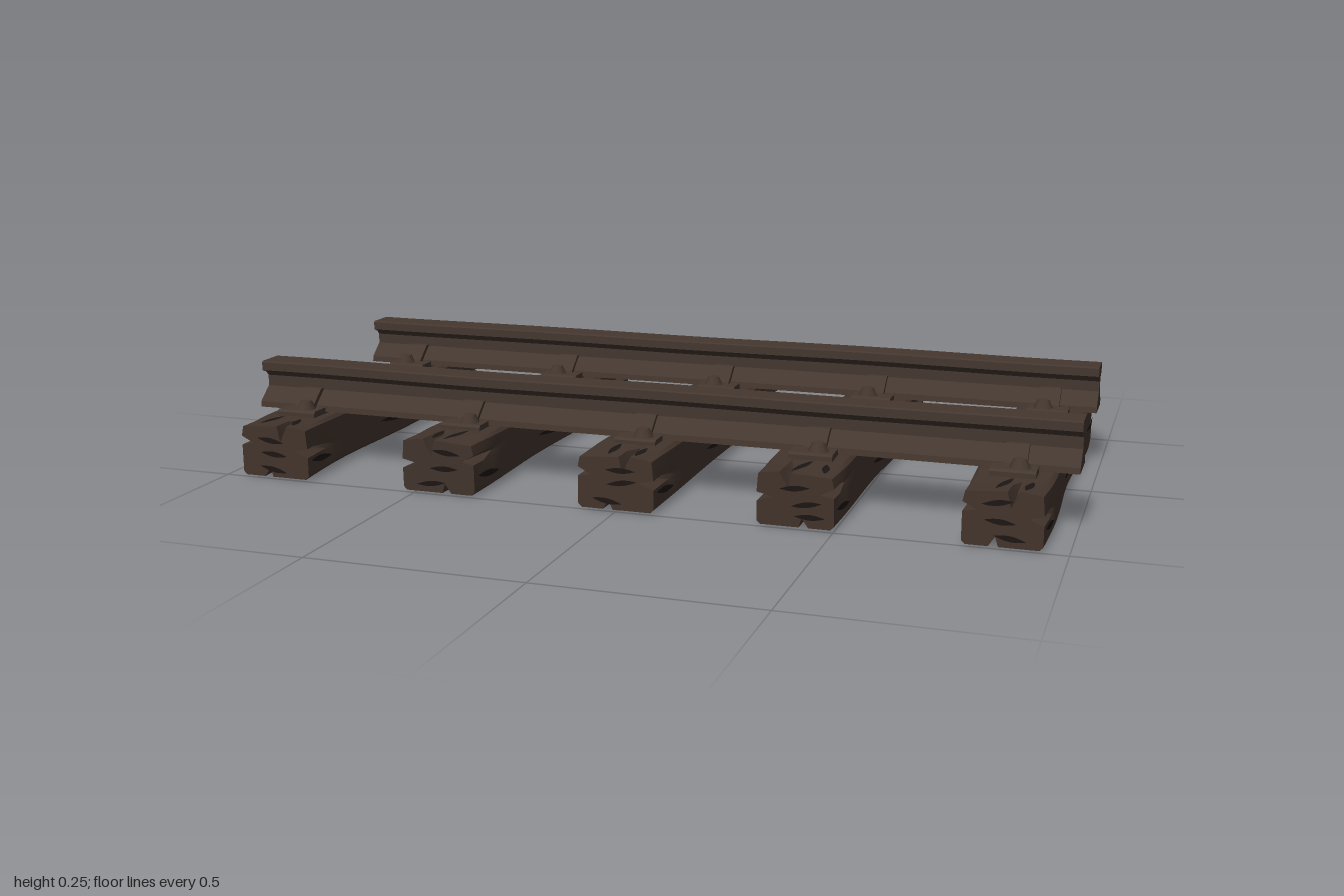
import * as THREE from 'three';
import { toCreasedNormals } from 'three/addons/utils/BufferGeometryUtils.js';

const mat = (name, color, side = THREE.FrontSide) => {
  const m = new THREE.MeshStandardMaterial({ color, side });
  m.name = name;
  return m;
};

function makeRandom(seed) {
  return () => (seed = (seed * 16807) % 2147483647) / 2147483647;
}

function add(parent, name, geometry, material) {
  const mesh = new THREE.Mesh(geometry, material);
  mesh.name = name;
  parent.add(mesh);
  return mesh;
}

// Move every vertex by a rule p => p
function deform(geometry, rule) {
  const pos = geometry.attributes.position, p = new THREE.Vector3();
  for (let i = 0; i < pos.count; i++) {
    p.fromBufferAttribute(pos, i);
    rule(p);
    pos.setXYZ(i, p.x, p.y, p.z);
  }
  geometry.computeVertexNormals();
  return geometry;
}

const HALF = 0.088, HEIGHT = 0.131, LENGTH = 0.495;

// Cross-section of a sleeper: x, y and how far each point sinks at the split ends
const SECTION = [
  [-0.08, 0.005, 0, 0], [-0.03, 0.005, 0, 0], [-0.02, 0.005, 0.005, 0.022], [-0.008, 0.005, 0, 0],
  [0.08, 0.005, 0, 0], [0.088, 0.013, 0, 0], [0.088, 0.058, 0, 0], [0.088, 0.068, -0.034, 0.004],
  [0.088, 0.08, 0, 0], [0.088, 0.123, -0.004, 0], [0.08, 0.131, -0.006, -0.005], [0.035, 0.131, 0, 0],
  [0.022, 0.131, -0.006, -0.04], [0.008, 0.131, 0, -0.002], [-0.08, 0.131, 0.006, -0.007],
  [-0.088, 0.123, 0.005, 0], [-0.088, 0.1, 0, 0], [-0.088, 0.09, 0.03, -0.006], [-0.088, 0.078, 0, 0],
  [-0.088, 0.013, 0, 0],
];

// Old timber leans, bows and swells a little along its length
function sleeperWarp({ x, lean, bow, seed, flip }) {
  return (p) => {
    const t = p.z / LENGTH;
    p.x *= flip * (1 - 0.05 * (1 - t * t) + 0.03 * Math.sin(p.z * 11 + seed));
    p.x += x + lean * t + bow * (1 - t * t) + 0.004 * Math.sin(p.z * 9 + seed * 2);
    p.y += 0.008 * (1 - t * t) * (1 - p.y / HEIGHT) + 0.002 * Math.sin(p.z * 13 + seed) * p.y / HEIGHT;
    p.z += 0.006 * t * t * t * (p.y / HEIGHT - 0.5) * Math.sin(seed * 3);
  };
}

function sleeperGeometry(warp) {
  const rings = 21, n = SECTION.length, pos = [], idx = [];
  for (let k = 0; k < rings; k++) {
    const z = -LENGTH + (2 * LENGTH * k) / (rings - 1);
    const split = THREE.MathUtils.smoothstep(Math.abs(z), 0.36, LENGTH);
    for (const [x, y, dx, dy] of SECTION) {
      const p = new THREE.Vector3(x + dx * split, y + dy * split, z);
      warp(p);
      pos.push(p.x, p.y, p.z);
    }
  }
  const quad = (a, b, c, d) => idx.push(a, b, c, a, c, d);
  for (let k = 0; k < rings - 1; k++) {
    for (let i = 0; i < n; i++) {
      const j = (i + 1) % n;
      quad(k * n + i, k * n + j, (k + 1) * n + j, (k + 1) * n + i);
    }
  }
  const outline = SECTION.map(([x, y, dx, dy]) => new THREE.Vector2(x + dx, y + dy));
  for (const [a, b, c] of THREE.ShapeUtils.triangulateShape(outline, [])) {
    const f = (rings - 1) * n;
    idx.push(f + a, f + b, f + c, a, c, b);
  }
  // A mirrored section needs its triangles turned round
  const probe = new THREE.Vector3(1, 0, 0), probe2 = new THREE.Vector3();
  warp(probe); warp(probe2);
  if (probe.x < probe2.x) idx.reverse();
  const g = new THREE.BufferGeometry();
  g.setAttribute('position', new THREE.Float32BufferAttribute(pos, 3));
  g.setIndex(idx);
  return toCreasedNormals(g, 0.6);
}

// Thin pointed sliver lying on a face; place(t, s) gives its position
function sliver(place, warp) {
  return deform(new THREE.PlaneGeometry(1, 1, 10, 1), (p) => {
    const t = p.x + 0.5, s = p.y * Math.sin(Math.PI * t);
    p.set(...place(t, s));
    warp(p);
  });
}

// Ragged flat patch from rows of x, back z and front z
function raggedPatch(rows, random) {
  const edge = (k) => {
    const pts = [];
    for (let i = 0; i < rows.length - 1; i++) {
      const steps = Math.max(2, Math.round((rows[i + 1][0] - rows[i][0]) / 0.014));
      for (let j = 0; j < steps; j++) {
        const t = j / steps, out = k === 1 ? -1 : 1;
        pts.push(new THREE.Vector2(
          THREE.MathUtils.lerp(rows[i][0], rows[i + 1][0], t),
          THREE.MathUtils.lerp(rows[i][k], rows[i + 1][k], t) + out * (random() - 0.3) * 0.024));
      }
    }
    const last = rows[rows.length - 1];
    pts.push(new THREE.Vector2(last[0], last[k]));
    return pts;
  };
  const shape = new THREE.Shape([...edge(1), ...edge(2).reverse()]);
  return new THREE.ShapeGeometry(shape).rotateX(Math.PI / 2);
}

// Extrude a symmetric outline (half width, height) along x
function extrudeAlongX(half, length, steps) {
  const pts = [...half, ...half.map(([w, y]) => [-w, y]).reverse()].map((p) => new THREE.Vector2(...p));
  const g = new THREE.ExtrudeGeometry(new THREE.Shape(pts), { depth: length, steps, bevelEnabled: false });
  return g.translate(0, 0, -length / 2).rotateY(Math.PI / 2);
}

export function createModel() {
  const group = new THREE.Group();
  const wood = mat('weathered wood', 0x42342c);
  const iron = mat('rusty iron', 0x44372f);
  const crack = mat('dark crack', 0x1c1613, THREE.DoubleSide);
  const scrap = mat('ground litter', 0x3c2f28, THREE.DoubleSide);
  const random = makeRandom(421);

  const sleepers = [
    { x: -0.87, lean: 0.0, bow: 0, seed: 1, flip: 1 },
    { x: -0.43, lean: -0.01, bow: 0.01, seed: 2.3, flip: -1 },
    { x: 0.015, lean: -0.012, bow: 0.0, seed: 3.1, flip: 1 },
    { x: 0.42, lean: -0.01, bow: 0.01, seed: 4.6, flip: -1 },
    { x: 0.863, lean: -0.006, bow: 0.006, seed: 5.2, flip: 1 },
  ];

  sleepers.forEach((s, n) => {
    const tie = new THREE.Group();
    tie.name = 'sleeper' + (n + 1);
    group.add(tie);
    const warp = sleeperWarp(s);
    add(tie, 'timber', sleeperGeometry(warp), wood);

    // Cracks in the top
    for (const [z0, len] of [[-0.49, 0.1], [-0.14, 0.2], [0.4, 0.09], [0.42, 0.07]]) {
      const x0 = (random() - 0.5) * 0.11, skew = (random() - 0.5) * 0.05;
      add(tie, 'topCrack', sliver((t, v) => [x0 + skew * t + v * 0.018, HEIGHT + 0.002, z0 + len * t], warp), crack);
    }
    // Cracks in both long sides
    for (const side of [-1, 1]) {
      for (const [z0, len, y0] of [[-0.05, 0.18, 0.045], [-0.49, 0.24, 0.065], [0.37, 0.11, 0.035]]) {
        add(tie, 'sideCrack', sliver((t, v) =>
          [side * (HALF + 0.002), y0 + 0.014 * t + v * 0.016, z0 + len * t], warp), crack);
      }
      // Splits in the sawn ends
      for (let i = 0; i < 3; i++) {
        const x0 = -0.07 + random() * 0.06, y0 = 0.03 + i * 0.034, rise = (random() - 0.5) * 0.025;
        add(tie, 'endSplit', sliver((t, v) =>
          [x0 + 0.07 * t, y0 + rise * t + v * 0.013, side * (LENGTH + 0.002)], warp), crack);
      }
    }
  });
  // Wide scar across the middle sleeper
  add(group, 'scar', sliver((t, v) => [-0.07 + 0.14 * t, HEIGHT + 0.003, -0.1 + 0.03 * t + v * 0.05],
    sleeperWarp(sleepers[2])), crack);

  // Rails with head, web and foot
  const railHalf = [[0.052, 0.134], [0.05, 0.148], [0.022, 0.172], [0.012, 0.18], [0.011, 0.206],
    [0.02, 0.216], [0.037, 0.223], [0.037, 0.243], [0.034, 0.246]];
  for (const [name, z, x0, x1] of [['frontRail', 0.287, -1, 1], ['backRail', -0.29, -1, 0.985]]) {
    const g = deform(extrudeAlongX(railHalf, x1 - x0, 24), (p) => {
      p.z += 0.002 * Math.sin(p.x * 5 + z * 9);
      p.y += 0.001 * Math.sin(p.x * 7 + z * 5) * (p.y > 0.2 ? 1 : 0);
    });
    add(group, name, toCreasedNormals(g, 0.5), iron).position.set((x0 + x1) / 2, 0, z);
  }

  // Base plates, clips and bolts where each rail crosses a sleeper
  const plate = extrudeAlongX([[0.103, 0.129], [0.103, 0.14], [0.097, 0.145]], 0.1, 1);
  const clip = extrudeAlongX([[0.066, 0.14], [0.062, 0.15], [0.022, 0.184]], 0.05, 1);
  const bolt = new THREE.CylinderGeometry(0.014, 0.025, 0.022, 8);
  for (const s of sleepers) {
    for (const side of [-1, 1]) {
      const fixing = new THREE.Group();
      fixing.name = 'railFixing';
      fixing.position.set(s.x + s.lean * side * 0.6 + s.bow * 0.6, 0, side * 0.288);
      group.add(fixing);
      add(fixing, 'basePlate', plate, iron);
      add(fixing, 'clip', clip, iron);
      for (const end of [-1, 1]) {
        add(fixing, 'bolt', bolt, iron).position.set(0.012 * side, 0.154, end * 0.074);
      }
    }
  }

  // Ragged litter on the ground under the back rail
  const patches = [
    [[-0.8, -0.5, -0.33], [-0.75, -0.47, -0.36], [-0.73, -0.43, -0.4]],
    [[-0.61, -0.47, -0.45], [-0.58, -0.465, -0.42], [-0.55, -0.43, -0.4], [-0.52, -0.46, -0.42],
      [-0.44, -0.49, -0.38], [-0.34, -0.49, -0.41], [-0.28, -0.49, -0.44], [-0.22, -0.495, -0.485]],
    [[-0.8, -0.33, -0.21], [-0.7, -0.33, -0.23], [-0.6, -0.33, -0.26], [-0.5, -0.32, -0.25],
      [-0.35, -0.3, -0.21], [-0.25, -0.31, -0.2], [-0.22, -0.33, -0.25], [-0.14, -0.345, -0.25],
      [-0.05, -0.32, -0.24], [0.1, -0.33, -0.2], [0.2, -0.32, -0.21], [0.34, -0.32, -0.23],
      [0.5, -0.31, -0.23], [0.6, -0.3, -0.22], [0.77, -0.29, -0.2]],
  ];
  patches.forEach((rows, i) => {
    add(group, 'litter' + (i + 1), raggedPatch(rows, random), scrap).position.y = 0.002 + i * 0.001;
  });
  return group;
}
